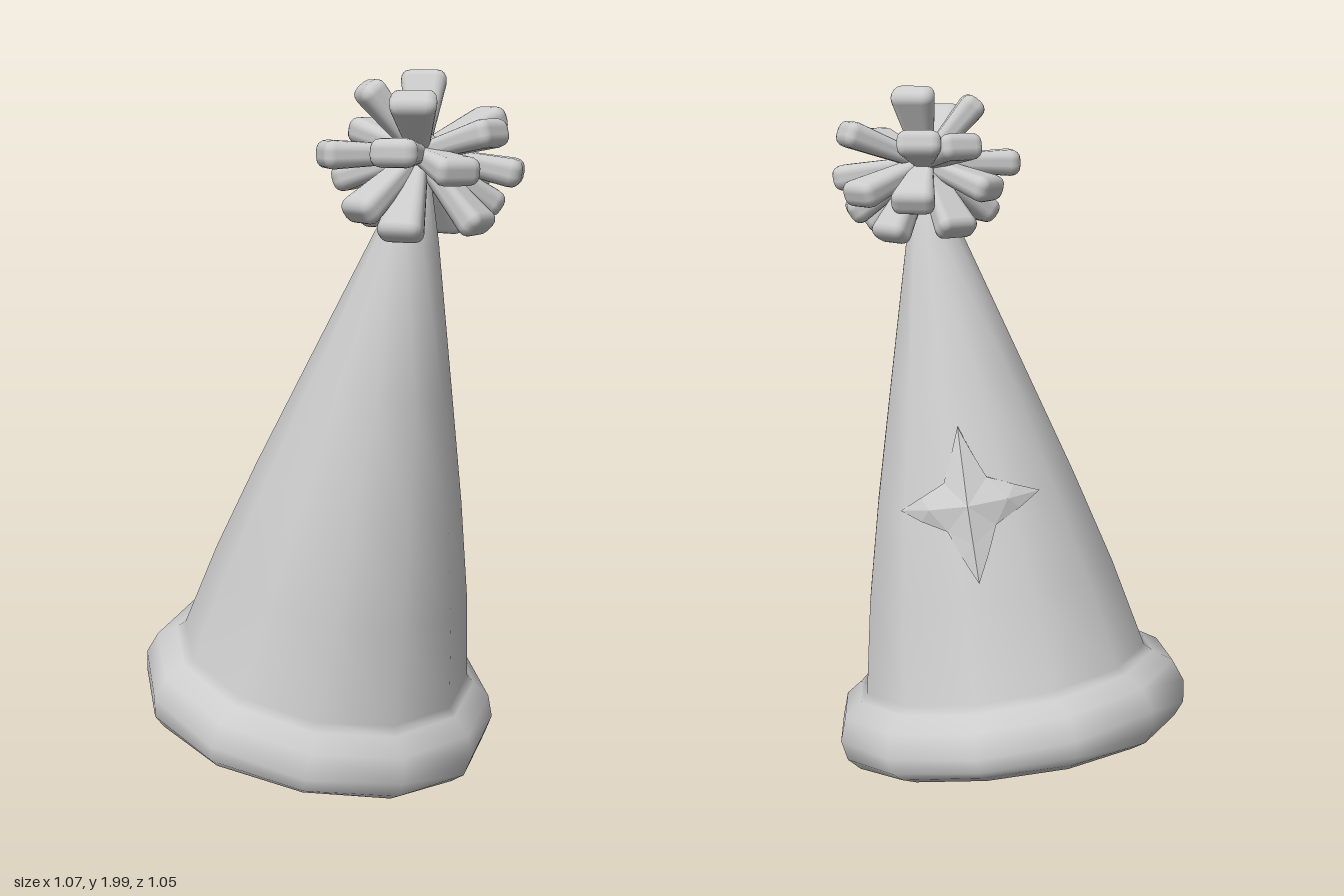
import * as THREE from 'three';
import { RoundedBoxGeometry } from 'three/addons/geometries/RoundedBoxGeometry.js';

// Half outlines as radius, height along the axis
const BRIM = [[0.40, -0.1], [0.435, -0.105], [0.485, -0.085], [0.517, -0.045], [0.527, 0.02], [0.503, 0.085], [0.45, 0.12]];
const CONE = [[0.427, 0.14], [0.372, 0.4], [0.298, 0.68], [0.205, 1.0], [0.088, 1.4], [0.035, 1.56], [0, 1.58]];

function coneRadius(h) {
  for (let i = 1; i < CONE.length; i++) {
    const [r0, h0] = CONE[i - 1], [r1, h1] = CONE[i];
    if (h <= h1) return r0 + (r1 - r0) * (h - h0) / (h1 - h0);
  }
  return 0;
}

// Open hat skin: rolled brim flowing into the cone, underside raised at front and back
function hatGeometry() {
  const g = new THREE.LatheGeometry([...BRIM, ...CONE].map(([r, h]) => new THREE.Vector2(r, h)), 12);
  const p = g.attributes.position;
  for (let i = 0; i < p.count; i++) {
    const y = p.getY(i);
    if (y < 0) p.setY(i, y + 0.03 * (p.getZ(i) / 0.42) ** 2 * Math.min(1, -y / 0.08));
  }
  return g;
}

// Four-pointed ridged star wrapped round the cone
function starGeometry() {
  const size = 0.212, valley = 0.065, middle = 0.67, turn = Math.PI + 0.14;
  const out = [];
  const put = ([s, t, d]) => {
    const h = middle + t, r = coneRadius(h) + d, a = turn + s / 0.3;
    out.push(r * Math.sin(a), h, r * Math.cos(a));
  };
  const tri = (...p) => p.forEach(put);
  const mid = (a, b) => a.map((v, i) => (v + b[i]) / 2);
  const low = ([s, t]) => [s, t, -0.02];
  for (let q = 0; q < 4; q++) {
    const c = Math.round(Math.cos(q * Math.PI / 2)), n = Math.round(Math.sin(q * Math.PI / 2));
    for (const side of [-1, 1]) {
      const centre = [0, 0, 0.033];
      const tip = [size * c, size * n, 0.004];
      const notch = [valley * (c - side * n), valley * (n + side * c), 0];
      const ridge = mid(centre, tip), edge = mid(notch, tip);
      const faces = [[centre, ridge, notch], [notch, ridge, edge], [ridge, tip, edge],
        [notch, edge, low(notch)], [edge, low(edge), low(notch)],
        [edge, tip, low(edge)], [tip, low(tip), low(edge)]];
      for (const [a, b, d] of faces) side > 0 ? tri(a, b, d) : tri(a, d, b);
    }
  }
  const g = new THREE.BufferGeometry();
  g.setAttribute('position', new THREE.Float32BufferAttribute(out, 3));
  g.computeVertexNormals();
  return g;
}

// Rounded block running along +z, narrow at the root and wide at the tip
function tuftGeometry(length) {
  const g = new RoundedBoxGeometry(0.132, 0.078, length, 2, 0.03);
  g.translate(0, 0, length / 2);
  const p = g.attributes.position;
  for (let i = 0; i < p.count; i++) {
    const k = p.getZ(i) / length;
    p.setX(i, p.getX(i) * (0.35 + 0.65 * k));
    p.setY(i, p.getY(i) * (0.55 + 0.45 * k));
  }
  return g;
}

export function createModel() {
  const model = new THREE.Group();
  model.name = 'partyHat';
  const grey = new THREE.MeshStandardMaterial({ color: 0xcccccc, side: THREE.DoubleSide });
  grey.name = 'light grey';
  const add = (parent, geometry, name) => {
    const mesh = new THREE.Mesh(geometry, grey);
    mesh.name = name;
    parent.add(mesh);
    return mesh;
  };

  // Tilted hat body with its brim, and the star on the back
  const hat = new THREE.Group();
  hat.name = 'hat';
  hat.position.set(-0.02, 0.187, 0);
  hat.quaternion.setFromUnitVectors(new THREE.Vector3(0, 1, 0), new THREE.Vector3(0.182, 1, 0.103).normalize());
  model.add(hat);
  add(hat, hatGeometry(), 'coneAndBrim');
  add(hat, starGeometry(), 'star');

  // Pompom: tufts pointing at these tips
  const pompom = new THREE.Group();
  pompom.name = 'pompom';
  pompom.position.set(0.26, 1.78, 0.165);
  model.add(pompom);
  add(pompom, new THREE.SphereGeometry(0.06, 12, 8), 'pompomCore');
  const tips = [
    [-0.14, 0.17, 0.04], [0.01, 0.2, -0.11], [-0.02, 0.14, 0.16], [0.2, 0.09, -0.13],
    [0.26, -0.05, 0.04], [0.1, -0.04, 0.21], [-0.07, 0.01, 0.23], [-0.25, 0, 0.08],
    [-0.15, 0.06, -0.18], [-0.035, 0.07, -0.23], [0.15, -0.08, -0.2], [0.19, 0.06, 0.14],
    [-0.05, -0.205, 0.13], [0.16, -0.185, 0.09], [-0.16, -0.15, 0.12], [0.08, -0.2, -0.12],
    [-0.12, -0.18, -0.12], [0.2, -0.14, -0.07], [-0.21, -0.07, -0.07], [-0.01, -0.1, -0.21],
  ];
  for (const tip of tips) {
    const v = new THREE.Vector3(...tip);
    add(pompom, tuftGeometry(v.length() + 0.01), 'tuft').lookAt(v.add(pompom.position));
  }
  return model;
}
